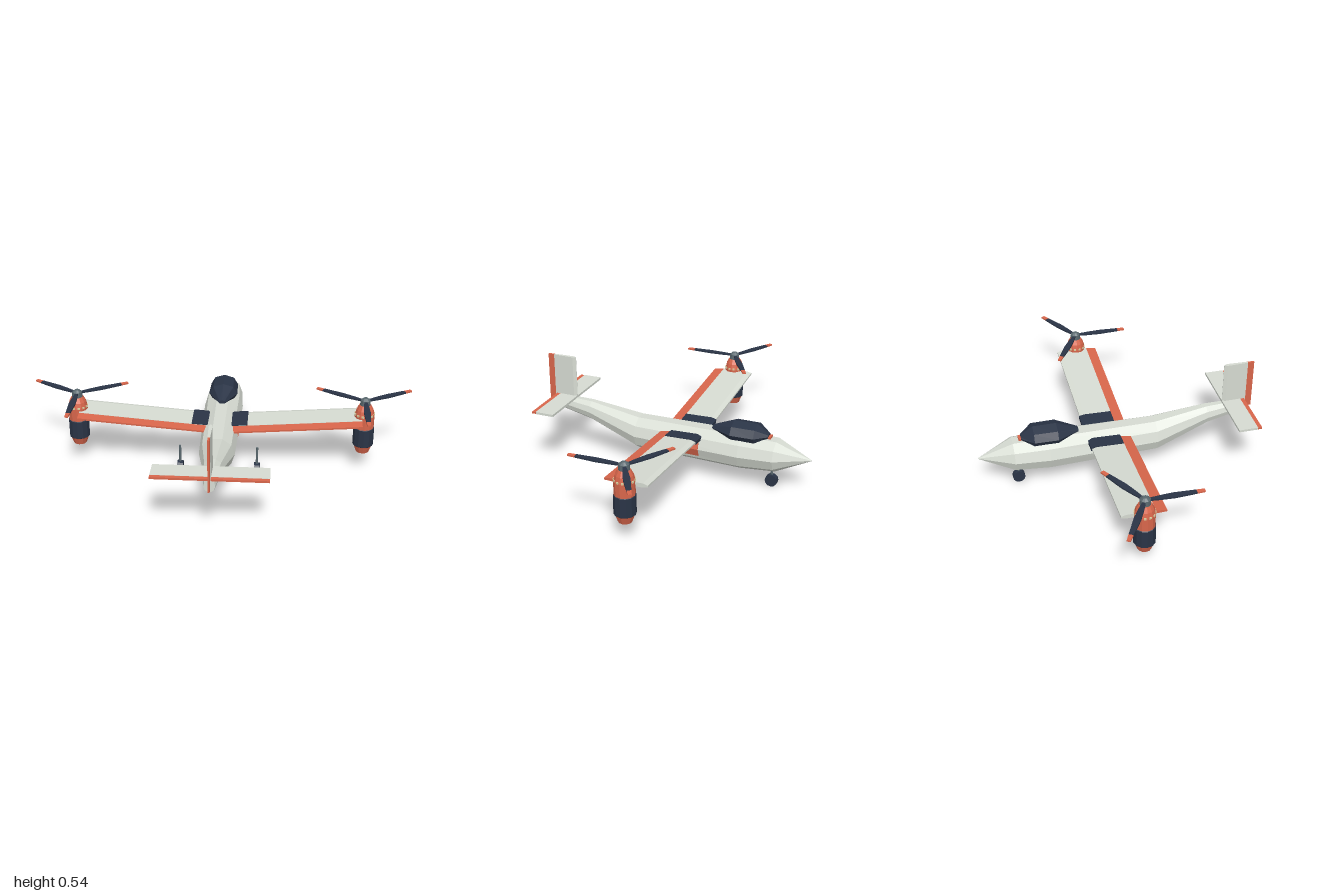
import * as THREE from 'three';

const paint = (name, color) => {
  const m = new THREE.MeshStandardMaterial({ color, flatShading: true });
  m.name = name;
  return m;
};

// Skin a closed loft through rings of [x, y, z] points, with capped ends
function loft(rings) {
  const pos = [];
  const tri = (...p) => p.forEach((v) => pos.push(...v));
  const n = rings[0].length;
  for (let s = 0; s < rings.length - 1; s++) {
    for (let i = 0; i < n; i++) {
      const j = (i + 1) % n;
      const a = rings[s][i], b = rings[s][j], c = rings[s + 1][j], d = rings[s + 1][i];
      tri(a, b, c);
      tri(a, c, d);
    }
  }
  const last = rings[rings.length - 1];
  for (let i = 1; i < n - 1; i++) {
    tri(rings[0][0], rings[0][i + 1], rings[0][i]);
    tri(last[0], last[i], last[i + 1]);
  }
  const g = new THREE.BufferGeometry();
  g.setAttribute('position', new THREE.Float32BufferAttribute(pos, 3));
  g.computeVertexNormals();
  return g;
}

// Elliptical ring across the z axis
const ring = (sides, z, cy, rx, ry) => Array.from({ length: sides }, (_, i) => {
  const t = (i / sides) * Math.PI * 2;
  return [Math.cos(t) * rx, cy + Math.sin(t) * ry, z];
});

export function createModel() {
  const grey = paint('light grey', 0xd6dbd2);
  const orange = paint('burnt orange', 0xd8664b);
  const navy = paint('dark navy', 0x2a3446);
  const slate = paint('slate', 0x59686e);
  const cream = paint('cream', 0xdccd9e);

  const model = new THREE.Group();
  model.name = 'tiltrotorAircraft';
  const add = (name, geo, mat, x = 0, y = 0, z = 0, parent = model) => {
    const m = new THREE.Mesh(geo, mat);
    m.name = name;
    m.position.set(x, y, z);
    parent.add(m);
    return m;
  };
  const box = (w, h, d) => new THREE.BoxGeometry(w, h, d);

  // Fuselage: z, centre height, half width, half height
  add('fuselage', loft([
    [-0.73, 0.18, 0.002, 0.002],
    [-0.55, 0.18, 0.094, 0.086],
    [-0.37, 0.177, 0.105, 0.096],
    [0.2, 0.183, 0.091, 0.09],
    [0.48, 0.258, 0.05, 0.053],
    [0.69, 0.284, 0.028, 0.033],
  ].map(([z, cy, rx, ry]) => ring(10, z, cy, rx, ry))), grey);

  // Door plate following the hull on the left side
  add('sideDoor', loft([[-0.16, 0.1025], [-0.015, 0.099]].map(([z, x]) => [
    [x - 0.02, 0.14, z], [x - 0.013, 0.14, z], [x, 0.18, z], [x - 0.016, 0.23, z], [x - 0.021, 0.23, z],
  ])), orange);

  // Canopy
  add('canopy', loft([
    [-0.505, 0.022, 0.012],
    [-0.443, 0.074, 0.055],
    [-0.32, 0.077, 0.055],
    [-0.207, 0.02, 0.01],
  ].map(([z, rx, ry]) => ring(8, z, 0.277, rx, ry))), navy);
  add('canopyNoseMark', box(0.036, 0.012, 0.016), orange, 0, 0.272, -0.51);

  // Wing panels follow the dihedral; each section is a list of [z, y]
  const wingPanel = (name, section, x0, x1, mat) => add(name, loft([x0, x1].map(
    (x) => section.map(([z, y]) => [x, 0.229 + 0.077 * Math.abs(x) + y, z]))), mat);
  const wingSection = [[0.002, 0.008], [0.002, -0.009], [-0.135, -0.011], [-0.165, -0.005], [-0.165, 0.004], [-0.14, 0.011]];
  const coverSection = wingSection.map(([z, y]) => [z * 1.02 - 0.001, y + Math.sign(y) * 0.004]);
  const flapSection = [[0.055, 0.001], [0.055, -0.008], [0, -0.01], [0, 0.007]];
  for (const s of [-1, 1]) {
    const side = s > 0 ? 'left' : 'right';
    const span = (a, b) => (s > 0 ? [a, b] : [-b, -a]);
    wingPanel(side + 'Wing', wingSection, ...span(0, 0.735), grey);
    wingPanel(side + 'Flap', flapSection, ...span(0.06, 0.735), orange);
    wingPanel(side + 'WingRootCover', coverSection, ...span(0.06, 0.145), navy);

    // Engine pod: stacked bands of one lathe-like profile
    const pod = new THREE.Group();
    pod.name = side + 'EnginePod';
    pod.position.set(s * 0.75, 0, -0.056);
    model.add(pod);
    const band = (name, points, mat) => add(name, new THREE.LatheGeometry(
      points.map(([r, y]) => new THREE.Vector2(r, y)), 12), mat, 0, 0, 0, pod);
    band('podTail', [[0, 0.092], [0.034, 0.092], [0.047, 0.128], [0.051, 0.135]], orange);
    band('podBand', [[0.05, 0.132], [0.054, 0.135], [0.054, 0.232], [0.05, 0.235]], navy);
    band('podBody', [[0.051, 0.232], [0.051, 0.305], [0.044, 0.335], [0.031, 0.36], [0, 0.36]], orange);
    for (let i = 0; i < 12; i++) {
      const a = ((i + 0.5) / 12) * Math.PI * 2;
      add('podStud', box(0.012, 0.01, 0.008), cream,
        Math.sin(a) * 0.048, 0.309, Math.cos(a) * 0.048, pod).rotation.y = a;
    }

    // Rotor: hub and three tipped blades
    const rotor = new THREE.Group();
    rotor.name = side + 'Rotor';
    rotor.position.y = 0.38;
    pod.add(rotor);
    add('rotorHub', new THREE.CylinderGeometry(0.026, 0.028, 0.028, 10), slate, 0, -0.007, 0, rotor);
    add('hubCap', new THREE.CylinderGeometry(0.012, 0.026, 0.012, 10), slate, 0, 0.012, 0, rotor);
    const slice = ([z, w]) => [[-w, -0.004, z], [w, -0.004, z], [w, 0.004, z], [-w, 0.004, z]];
    const blade = loft([[0.015, 0.007], [0.07, 0.013], [0.14, 0.017], [0.245, 0.011]].map(slice));
    const tip = loft([[0.245, 0.011], [0.284, 0.009]].map(slice));
    for (let i = 0; i < 3; i++) {
      const a = (i * Math.PI * 2) / 3;
      add('rotorBlade', blade, navy, 0, 0, 0, rotor).rotation.y = a;
      add('bladeTip', tip, orange, 0, 0, 0, rotor).rotation.y = a;
    }
  }

  // Tailplane and elevator
  add('tailplane', box(0.554, 0.012, 0.1), grey, 0, 0.316, 0.62);
  add('elevator', box(0.554, 0.01, 0.022), orange, 0, 0.316, 0.68);

  // Fin with a bevelled leading edge, and rudder
  add('fin', loft([[0.57, 0.001], [0.587, 0.009], [0.698, 0.006]].map(
    ([z, w]) => [[-w, 0.3, z], [w, 0.3, z], [w, 0.54, z], [-w, 0.54, z]])), grey);
  add('rudder', box(0.01, 0.268, 0.034), orange, 0, 0.406, 0.715);

  // Landing gear
  const wheel = new THREE.CylinderGeometry(0.032, 0.032, 0.03, 12).rotateZ(Math.PI / 2);
  for (const [name, x, z] of [['nose', 0, -0.527], ['left', 0.2, 0.07], ['right', -0.2, 0.07]]) {
    add(name + 'GearStrut', new THREE.CylinderGeometry(0.006, 0.006, 0.12, 8), slate, x, 0.096, z);
    add(name + 'Wheel', wheel, navy, x, 0.033, z);
  }
  return model;
}
